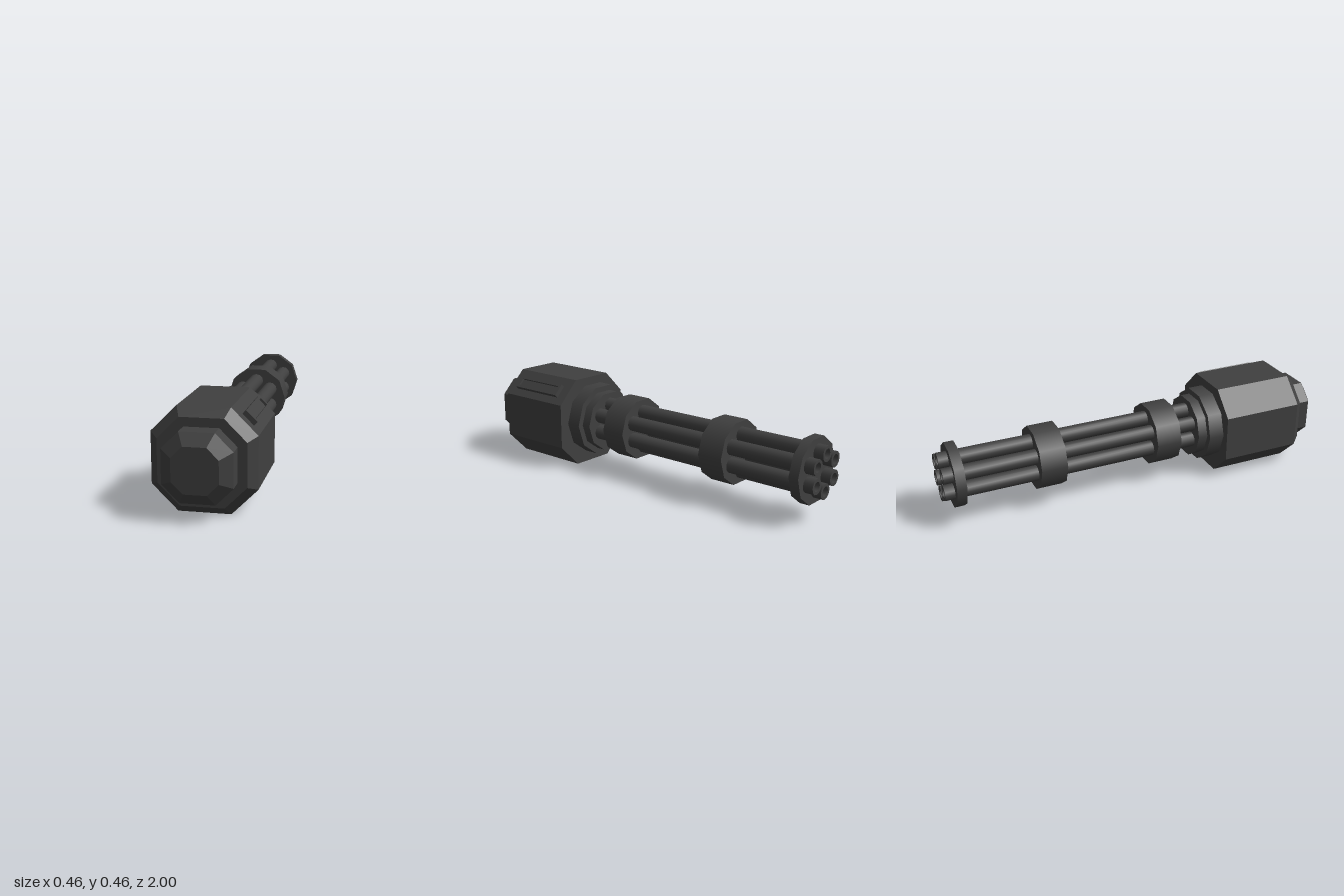
import * as THREE from 'three';
import { toCreasedNormals } from 'three/addons/utils/BufferGeometryUtils.js';

const gunmetal = new THREE.MeshStandardMaterial({ color: 0x404040 });

// Loft of chamfered squares along z; rings are [z, halfWidth], chamfer is half the half-width
function chamferedLoft(rings) {
  const corners = [[1, -0.5], [1, 0.5], [0.5, 1], [-0.5, 1], [-1, 0.5], [-1, -0.5], [-0.5, -1], [0.5, -1]];
  const loops = rings.map(([z, h]) => corners.map(([x, y]) => [x * h, y * h, z]));
  const pos = [];
  const tri = (a, b, c) => pos.push(...a, ...b, ...c);
  const last = loops[loops.length - 1];
  for (let i = 0; i < 8; i++) {
    const j = (i + 1) % 8;
    for (let k = 0; k + 1 < loops.length; k++) {
      const lo = loops[k], hi = loops[k + 1];
      tri(lo[i], lo[j], hi[j]);
      tri(lo[i], hi[j], hi[i]);
    }
    tri([0, 0, rings[0][0]], loops[0][j], loops[0][i]);
    tri([0, 0, rings[rings.length - 1][0]], last[i], last[j]);
  }
  const geo = new THREE.BufferGeometry();
  geo.setAttribute('position', new THREE.Float32BufferAttribute(pos, 3));
  geo.computeVertexNormals();
  return geo;
}

// Ten-sided ring lying along z, with corners at both sides
function collar(radius, zBack, zFront) {
  const geo = new THREE.CylinderGeometry(radius, radius, zFront - zBack, 10, 1, false, Math.PI / 2);
  return geo.rotateX(Math.PI / 2).translate(0, 0, (zFront + zBack) / 2);
}

function rect(w, h, Type) {
  const p = new Type();
  p.moveTo(-w / 2, -h / 2).lineTo(w / 2, -h / 2).lineTo(w / 2, h / 2).lineTo(-w / 2, h / 2).closePath();
  return p;
}

export function createModel() {
  const model = new THREE.Group();
  const add = (parent, name, geo) => {
    const mesh = new THREE.Mesh(geo, gunmetal);
    mesh.name = name;
    parent.add(mesh);
    return mesh;
  };

  // Housing and its stepped end cap
  add(model, 'housing', chamferedLoft([[0.42, 0.231], [0.835, 0.231], [0.88, 0.192]])).position.y = 0.2315;
  add(model, 'endCap', chamferedLoft([[0.87, 0.152], [0.96, 0.152], [1, 0.1]])).position.y = 0.2315;

  // Framed hatch on the upper left chamfer
  const hatch = new THREE.Group();
  hatch.name = 'hatch';
  const frame = rect(0.31, 0.069, THREE.Shape);
  frame.holes.push(rect(0.272, 0.04, THREE.Path));
  add(hatch, 'hatchFrame', new THREE.ExtrudeGeometry(frame, { depth: 0.0255, bevelEnabled: false }).translate(0, 0, -0.005));
  add(hatch, 'hatchFloor', new THREE.BoxGeometry(0.272, 0.04, 0.012).translate(0, 0, 0.004));
  const s = Math.SQRT1_2;
  hatch.applyMatrix4(new THREE.Matrix4().makeBasis(
    new THREE.Vector3(0, 0, 1), new THREE.Vector3(s, -s, 0), new THREE.Vector3(s, s, 0)
  ).setPosition(0.178, 0.402, 0.628));
  model.add(hatch);

  // Barrel cluster, set slightly off the housing axis
  const cluster = new THREE.Group();
  cluster.name = 'barrelCluster';
  cluster.position.set(-0.008, 0.239, 0);
  model.add(cluster);

  const collars = [
    ['rearCollar', 0.189, 0.342, 0.425],
    ['frontCollar', 0.159, 0.294, 0.345],
    ['innerBand', 0.159, 0.064, 0.195],
    ['outerBand', 0.159, -0.545, -0.414],
    ['muzzleDisc', 0.159, -0.952, -0.904],
  ];
  for (const [name, r, z0, z1] of collars) add(cluster, name, collar(r, z0, z1));

  // Six hollow-ended barrels
  const profile = [[0.038, 0], [0.038, 1.3], [0.024, 1.3], [0.024, 1.25], [0, 1.25]]
    .map(([x, y]) => new THREE.Vector2(x, y));
  const barrelGeo = toCreasedNormals(new THREE.LatheGeometry(profile, 12), 0.9).rotateX(-Math.PI / 2);
  for (let i = 0; i < 6; i++) {
    const a = Math.PI / 6 + i * Math.PI / 3;
    add(cluster, 'barrel', barrelGeo).position.set(0.088 * Math.cos(a), 0.088 * Math.sin(a), 0.3);
  }
  return model;
}
